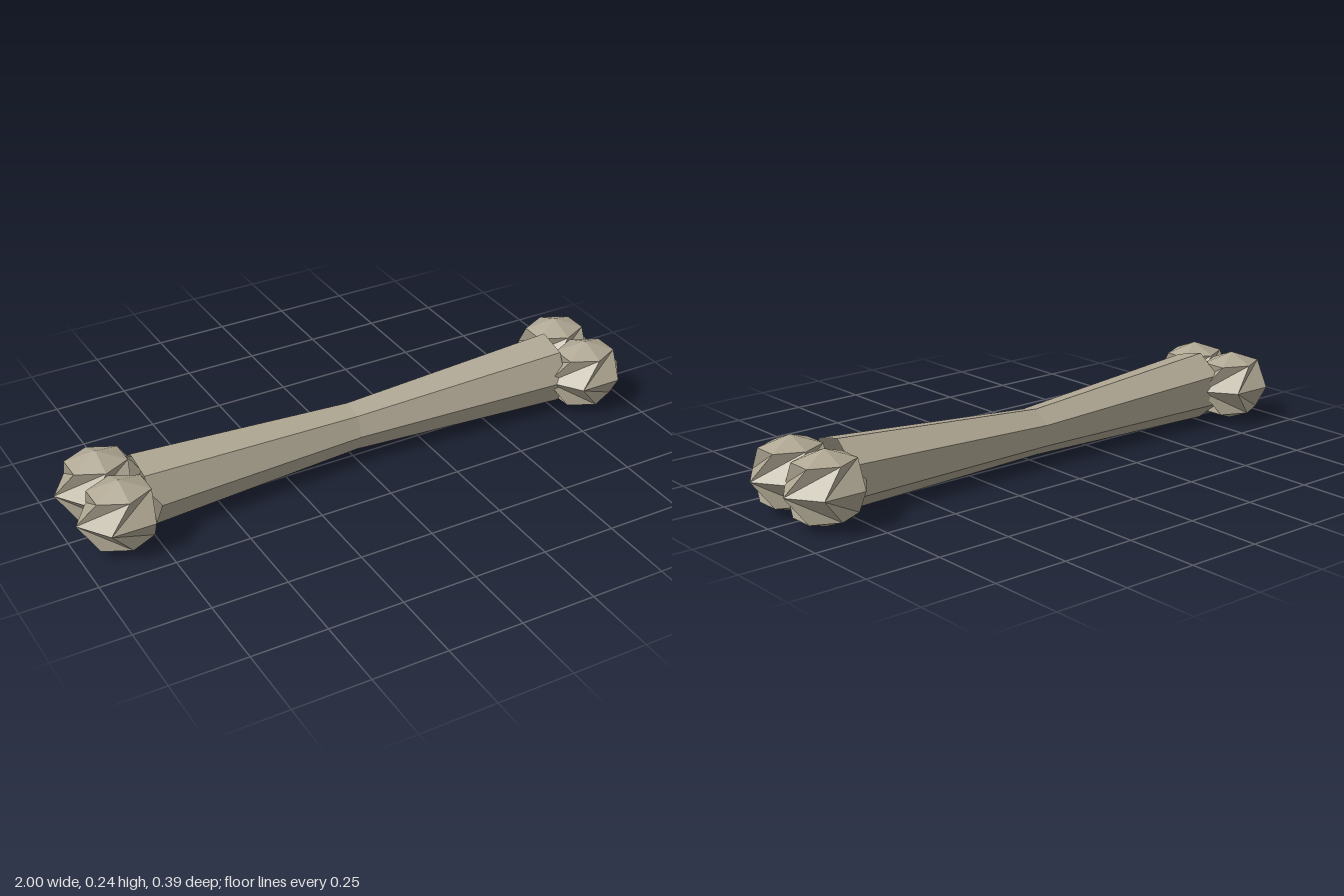
import * as THREE from 'three';

const bone = new THREE.MeshStandardMaterial({ color: 0xb0a894 });
bone.name = 'bone';
bone.side = THREE.DoubleSide;
bone.flatShading = true;

function facetedGeometry(points, index) {
  const indexed = new THREE.BufferGeometry();
  indexed.setAttribute('position', new THREE.Float32BufferAttribute(points, 3));
  indexed.setIndex(index);
  const geometry = indexed.toNonIndexed();
  geometry.computeVertexNormals();
  return geometry;
}

// Open seven-sided tube, slimmer and slightly bowed at the middle
function shaftGeometry() {
  const sides = 7;
  const rings = [
    { x: -0.768, y: 0.1225, z: 0, r: 0.12, tilt: 1 },
    { x: 0, y: 0.1075, z: -0.02, r: 0.08, tilt: 0 },
    { x: 0.768, y: 0.1225, z: 0, r: 0.12, tilt: -1 },
  ];
  const points = [], index = [];
  rings.forEach(({ x, y, z, r, tilt }, i) => {
    for (let j = 0; j < sides; j++) {
      const a = (j / sides) * Math.PI * 2;
      const dy = r * Math.sin(a), dz = r * Math.cos(a);
      points.push(x + tilt * (0.02 * dy + 0.026 * dz), y + dy, z + dz);
      if (i < rings.length - 1) {
        const p = i * sides + j, q = i * sides + ((j + 1) % sides);
        index.push(p, p + sides, q + sides, p, q + sides, q);
      }
    }
  });
  return facetedGeometry(points, index);
}

// Six-sided knob: wide middle ring joined with a twist to smaller rings above and below
function knobGeometry() {
  const n = 6, r = 0.1208, s = r * Math.SQRT1_2;
  const points = [], index = [];
  const ring = (radius, y, turn) => {
    for (let k = 0; k < n; k++) {
      const a = ((k + turn) / n) * Math.PI * 2;
      points.push(1.2 * radius * Math.cos(a), y, radius * Math.sin(a));
    }
  };
  ring(r, 0, 0);
  ring(s, s, -0.5);
  ring(s, -s, -0.5);
  points.push(0, r, 0, 0, -r, 0);
  for (const top of [true, false]) {
    const base = top ? n : 2 * n, pole = top ? 3 * n : 3 * n + 1;
    const face = (a, b, c) => index.push(a, top ? b : c, top ? c : b);
    for (let k = 0; k < n; k++) {
      const next = (k + 1) % n, a = base + k, b = base + ((k + n - 1) % n);
      face(k, b, a);
      face(k, a, next);
      face(b, pole, a);
    }
  }
  return facetedGeometry(points, index);
}

export function createModel() {
  const model = new THREE.Group();
  model.name = 'bone';

  const shaft = new THREE.Mesh(shaftGeometry(), bone);
  shaft.name = 'shaft';
  model.add(shaft);

  // Pair of knobs at each end
  const knob = knobGeometry();
  for (const x of [-1, 1]) {
    for (const z of [-1, 1]) {
      const mesh = new THREE.Mesh(knob, bone);
      mesh.name = `${x > 0 ? 'left' : 'right'}${z > 0 ? 'Front' : 'Back'}Knob`;
      mesh.position.set(x * 0.855, 0.1225, z * 0.091);
      model.add(mesh);
    }
  }
  return model;
}
